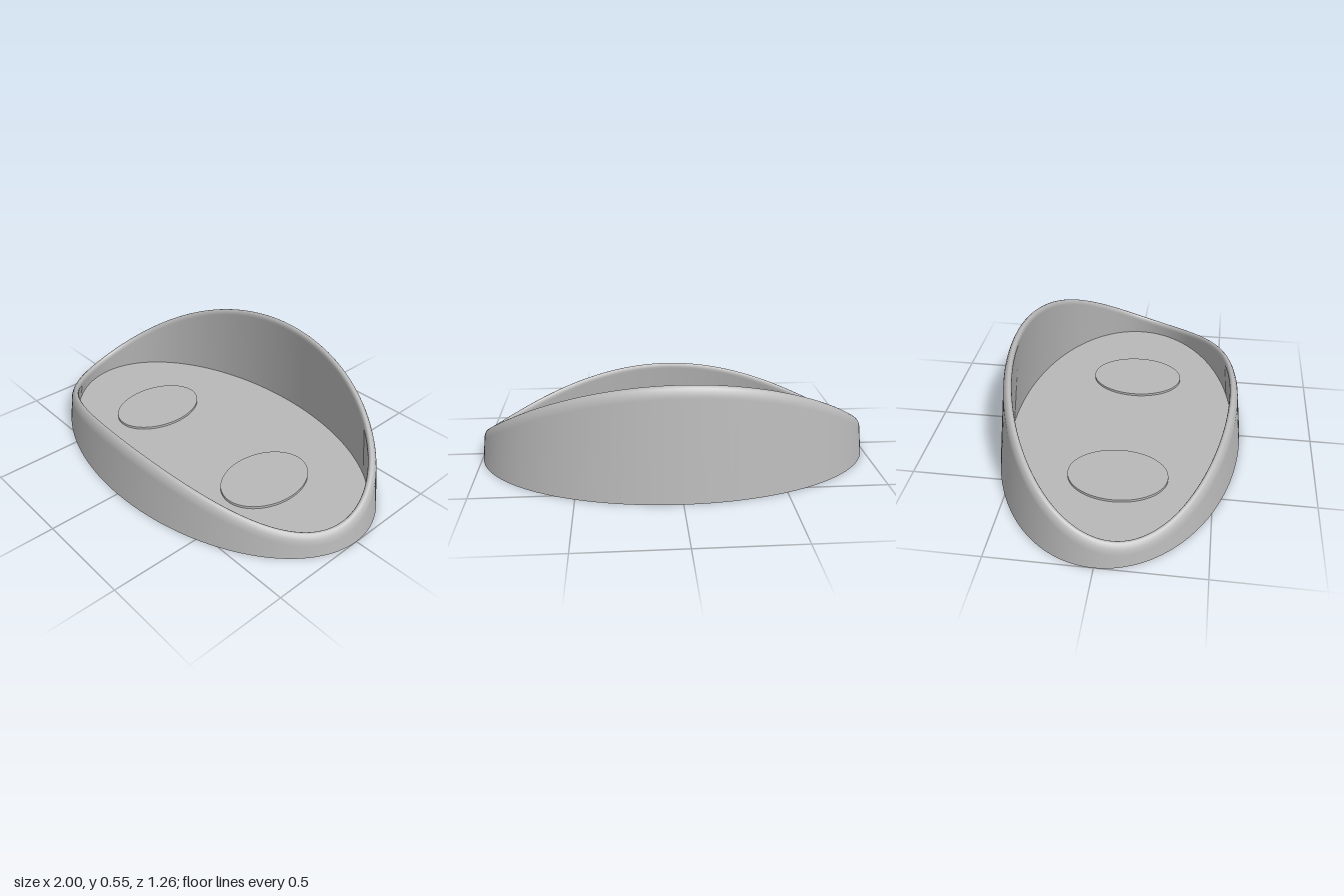
import * as THREE from 'three';

const A = 1, B = 0.628;      // half axes of the oval base
const TAPER = 0.12;          // inward lean of the wall per unit of height
const WALL = 0.04;           // wall thickness
const FLOOR = 0.03;
const SEGMENTS = 144;

// Height of the rim as a curve along z: high at the back, dipping at the sides
function rimHeight(z) {
  const d = 0.17 - z;
  return 0.115 + d * d * (1.05 - 0.26 * d);
}

// Point on the oval at height y, moved inward by an offset
function ovalPoint(angle, y, inset) {
  const shrink = TAPER * y + inset;
  return [(A - shrink) * Math.cos(angle), y, (B - shrink) * Math.sin(angle)];
}

// Outer wall, rounded rim and inner wall as one closed loft
function wallGeometry() {
  // [drop below rim, inset]; a null drop stands for a fixed height
  const rim = [[0.055, 0], [0.042, 0], [0.026, 0.003], [0.011, 0.009], [0.003, 0.017],
    [0, 0.025], [0.003, 0.032], [0.01, 0.037], [0.02, WALL], [0.03, WALL]];
  const rows = rim.length + 2;
  const positions = [], index = [];
  for (let i = 0; i < SEGMENTS; i++) {
    const angle = (i / SEGMENTS) * Math.PI * 2;
    let h = 0.2;
    for (let k = 0; k < 12; k++) h = rimHeight(ovalPoint(angle, h, 0.025)[2]);
    positions.push(...ovalPoint(angle, 0, 0));
    for (const [drop, inset] of rim) positions.push(...ovalPoint(angle, h - drop, inset));
    positions.push(...ovalPoint(angle, FLOOR, WALL));
    const next = (i + 1) % SEGMENTS;
    for (let j = 0; j < rows - 1; j++) {
      const a = i * rows + j, b = next * rows + j;
      index.push(a, a + 1, b, b, a + 1, b + 1);
    }
  }
  const geometry = new THREE.BufferGeometry();
  geometry.setAttribute('position', new THREE.Float32BufferAttribute(positions, 3));
  geometry.setIndex(index);
  geometry.computeVertexNormals();
  return geometry;
}

// Flat oval facing up or down
function ovalDisc(rx, rz, y, up) {
  const geometry = new THREE.CircleGeometry(1, SEGMENTS);
  geometry.rotateX(up ? -Math.PI / 2 : Math.PI / 2);
  geometry.scale(rx, 1, rz);
  geometry.translate(0, y, 0);
  return geometry;
}

export function createModel() {
  const group = new THREE.Group();
  const grey = new THREE.MeshStandardMaterial({ color: 0xb8b8b8 });
  grey.name = 'grey';

  function add(name, geometry) {
    const mesh = new THREE.Mesh(geometry, grey);
    mesh.name = name;
    group.add(mesh);
    return mesh;
  }

  add('wall', wallGeometry());
  add('underside', ovalDisc(A, B, 0, false));
  const inset = WALL + TAPER * FLOOR;
  add('floor', ovalDisc(A - inset, B - inset, FLOOR, true));

  // Two low oval pads on the floor
  for (const side of [-1, 1]) {
    const pad = new THREE.CylinderGeometry(1, 1, 0.02, 64);
    pad.scale(0.183, 1, 0.25);
    add(side > 0 ? 'leftPad' : 'rightPad', pad).position.set(side * 0.433, FLOOR + 0.003, 0.03);
  }
  return group;
}
